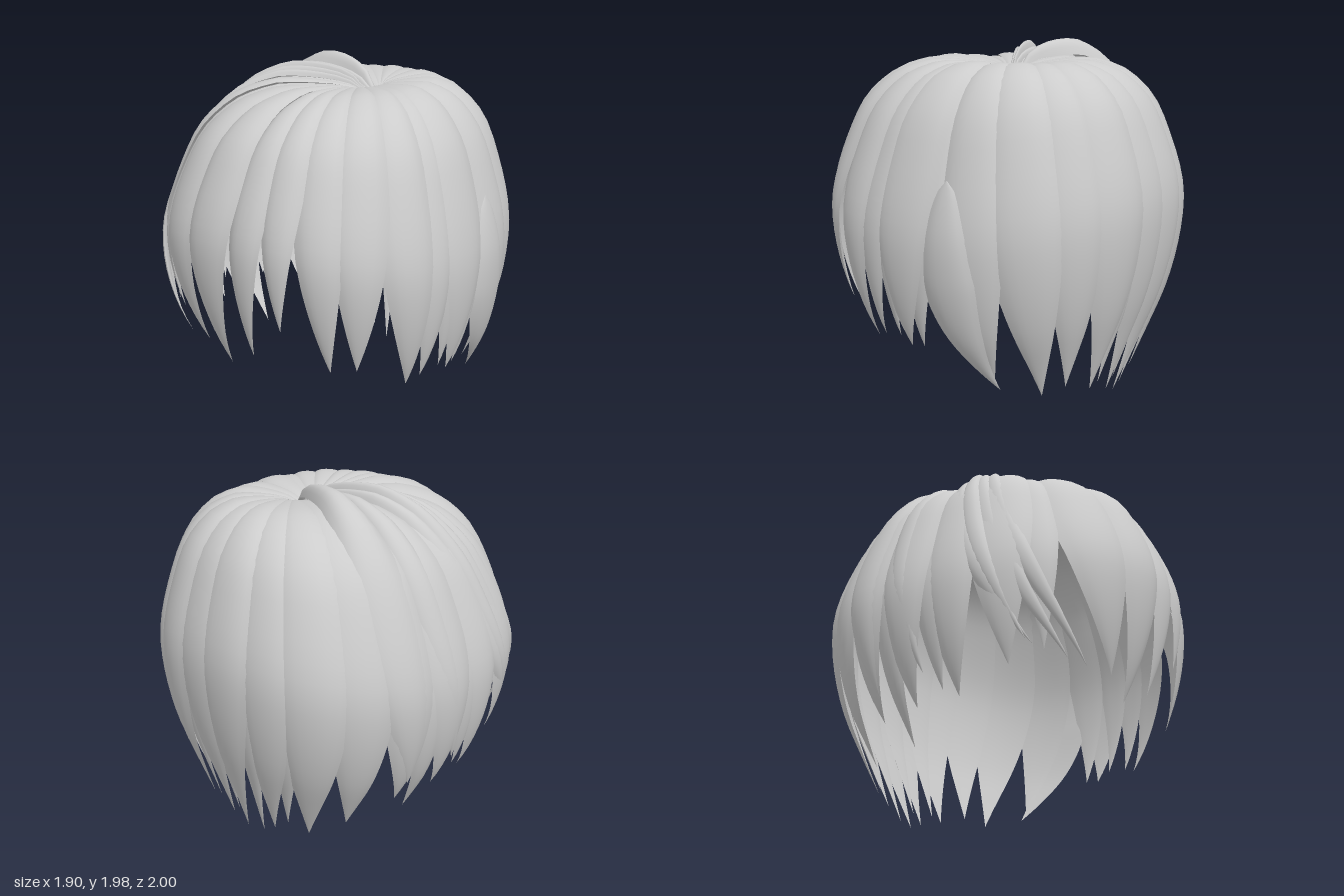
import * as THREE from 'three';

const HEART = new THREE.Vector3(0.03, 0.95, 0);

// Head profile: x = reach from crown to rim, y = height
const profile = new THREE.SplineCurve([
  [0, 1.83], [0.12, 1.86], [0.36, 1.875], [0.48, 1.86], [0.64, 1.8], [0.8, 1.66], [0.91, 1.45],
  [0.98, 1.25], [1, 1.08], [0.975, 0.85], [0.91, 0.6], [0.81, 0.36], [0.64, -0.02],
].map(([r, y]) => new THREE.Vector2(r, y)));
profile.arcLengthDivisions = 400;

// Point on the head at a compass angle (0 = front, 90 = left) and a distance s down the profile.
// The outline is a slightly squared oval; the locks part along a short slit at the crown.
function onHead(deg, s) {
  const a = THREE.MathUtils.degToRad(deg), p = profile.getPointAt(THREE.MathUtils.clamp(s, 0, 1));
  const sin = Math.sin(a), cos = Math.cos(a);
  const square = (Math.abs(sin) ** 2.4 + Math.abs(cos) ** 2.4) ** (-1 / 2.4);
  const cx = 0.135 - 0.03 * cos, cz = -0.12 + 0.08 * cos;
  const drop = 0.17 * sin ** 2 * Math.sin(Math.PI * THREE.MathUtils.clamp((1.88 - p.y) / 1.88, 0, 1));
  return new THREE.Vector3(
    cx + (0.93 * square * sin - cx) * p.x,
    p.y - drop,
    cz + (0.98 * square * cos - cz) * p.x);
}

// Distance along the profile at which a lock reaches its tip height
function reach(deg, tipY) {
  let lo = 0.3, hi = 1;
  for (let i = 0; i < 24; i++) {
    const mid = (lo + hi) / 2;
    if (onHead(deg, mid).y > tipY) lo = mid; else hi = mid;
  }
  return hi;
}

// One pointed lock: a lens-shaped section swept from crown to tip
function lockGeometry({ angle, half, tip, sweep = 0, out = 0, lift = 0, start = 0, taper = 0.52, bulge = 0.04, late = 2.6 }) {
  const rows = 28, cols = 8, positions = [], index = [];
  const end = reach(angle + sweep, tip);
  for (const side of [1, -1]) {
    const base = positions.length / 3;
    for (let i = 0; i <= rows; i++) {
      const t = i / rows, s = start + (end - start) * t;
      const k = Math.max(0, (t - taper) / (1 - taper));
      let width = 1 - k ** 1.5;
      if (start > 0) width *= Math.min(1, Math.sqrt(t * 2.5));
      const body = width * Math.min(1, 0.1 + s * 3);
      const hump = lift * Math.sin(Math.PI * Math.min(1, t * 2.2) ** 0.6);
      for (let j = 0; j <= cols; j++) {
        const u = -1 + 2 * j / cols, arc = 1 - Math.abs(u) ** 2.5;
        const p = onHead(angle + sweep * t ** late + half * width * u, s);
        const depth = body * (side > 0 ? bulge * arc : -0.01 * arc) - 0.026 * body + 0.014 * u * body
          + out * Math.min(1, s * 3) * (1 - t * t * 0.6);
        p.addScaledVector(p.clone().sub(HEART).normalize(), depth);
        p.y += hump * (0.35 + 0.65 * arc);
        positions.push(p.x, p.y, p.z);
      }
    }
    for (let i = 0; i < rows; i++) for (let j = 0; j < cols; j++) {
      const a = base + i * (cols + 1) + j, b = a + 1, c = a + cols + 1, d = c + 1;
      if (side > 0) index.push(a, c, b, b, c, d);
      else index.push(a, b, c, b, d, c);
    }
  }
  const g = new THREE.BufferGeometry();
  g.setAttribute('position', new THREE.Float32BufferAttribute(positions, 3));
  g.setIndex(index);
  g.computeVertexNormals();
  return g;
}

// Each row: angle, half width, tip height, sideways sweep, and extra offsets
const row = ([angle, half, tip, sweep, extra]) => ({ angle, half, tip, sweep, ...extra });
const LOCKS = {
  fringeLock: [
    [-34, 14, 0.5, 12, { late: 3, out: -0.012 }], [-10.5, 11.5, 0.4, -2, { out: 0.014 }], [6, 8, 0.5, -4],
    [17, 8, 0.72, 0, { out: 0.006 }], [29, 9, 0.48, 4], [43, 10, 0.5, -1, { out: 0.008 }],
  ],
  leftSideLock: [
    [58, 10.5, 0.35, 3], [71, 9, 0.38, -4, { out: -0.015 }], [83, 13, 0.36, -2, { out: 0.01 }],
    [77, 8, 0.4, -1, { out: -0.02 }], [90, 9, 0.36, -4, { out: -0.02 }],
    [99, 10, 0.16, 16, { start: 0.43, out: 0.02, taper: 0.4, late: 3 }],
    [105, 11.5, 0.2, 8], [121, 12, 0.12, 11, { out: 0.012 }],
  ],
  backLock: [
    [138, 11, 0.16, 4], [154, 13, 0.11, 2, { out: 0.01 }], [170, 13, 0.05, 2],
    [185, 13, 0.01, -3, { out: 0.012 }], [201, 12.5, 0.08, 0], [216, 13, 0.09, 2, { out: 0.012 }], [231, 12, 0.18, 2],
    [162, 8, 0.12, 0, { out: -0.025 }], [177, 8, 0.1, 0, { out: -0.025 }],
    [193, 8, 0.005, 0, { out: -0.02 }], [208, 8, 0.14, 0, { out: -0.025 }],
  ],
  rightSideLock: [
    [246, 11.5, 0.33, 4], [263, 11.5, 0.35, 4, { out: 0.01 }], [280, 11, 0.36, 4], [296, 12, 0.48, 5, { out: 0.008 }],
    [256, 8, 0.18, 4, { out: -0.025 }], [272, 9, 0.4, 6, { out: -0.025 }], [309, 8, 0.55, 3, { out: -0.04 }],
  ],
  // Raised locks folded over the crown
  crownLock: [
    [242, 11, 0.45, 10, { out: 0.015, lift: 0.1 }], [258, 7, 0.5, 14, { out: 0.015, lift: 0.05 }],
    [282, 5, 0.6, 24, { out: 0.015, lift: 0.08 }],
  ],
  // Thin loose strands sweeping forward
  looseStrand: [
    [286, 4.5, 0.52, 34, { out: 0.02, lift: 0.06, bulge: 0.025 }],
    [291, 4, 0.5, 36, { out: 0.025, lift: 0.04, bulge: 0.025 }],
    [276, 4.5, 0.58, 32, { out: 0.015, lift: 0.05, bulge: 0.025 }],
  ],
};

export function createModel() {
  const model = new THREE.Group();
  model.name = 'hair';
  const hair = new THREE.MeshStandardMaterial({ color: 0xcccccc, side: THREE.DoubleSide });
  hair.name = 'light grey';
  for (const [name, rows] of Object.entries(LOCKS)) {
    const group = new THREE.Group();
    group.name = name + 's';
    rows.forEach((r, i) => {
      const mesh = new THREE.Mesh(lockGeometry(row(r)), hair);
      mesh.name = name + (i + 1);
      group.add(mesh);
    });
    model.add(group);
  }
  return model;
}
